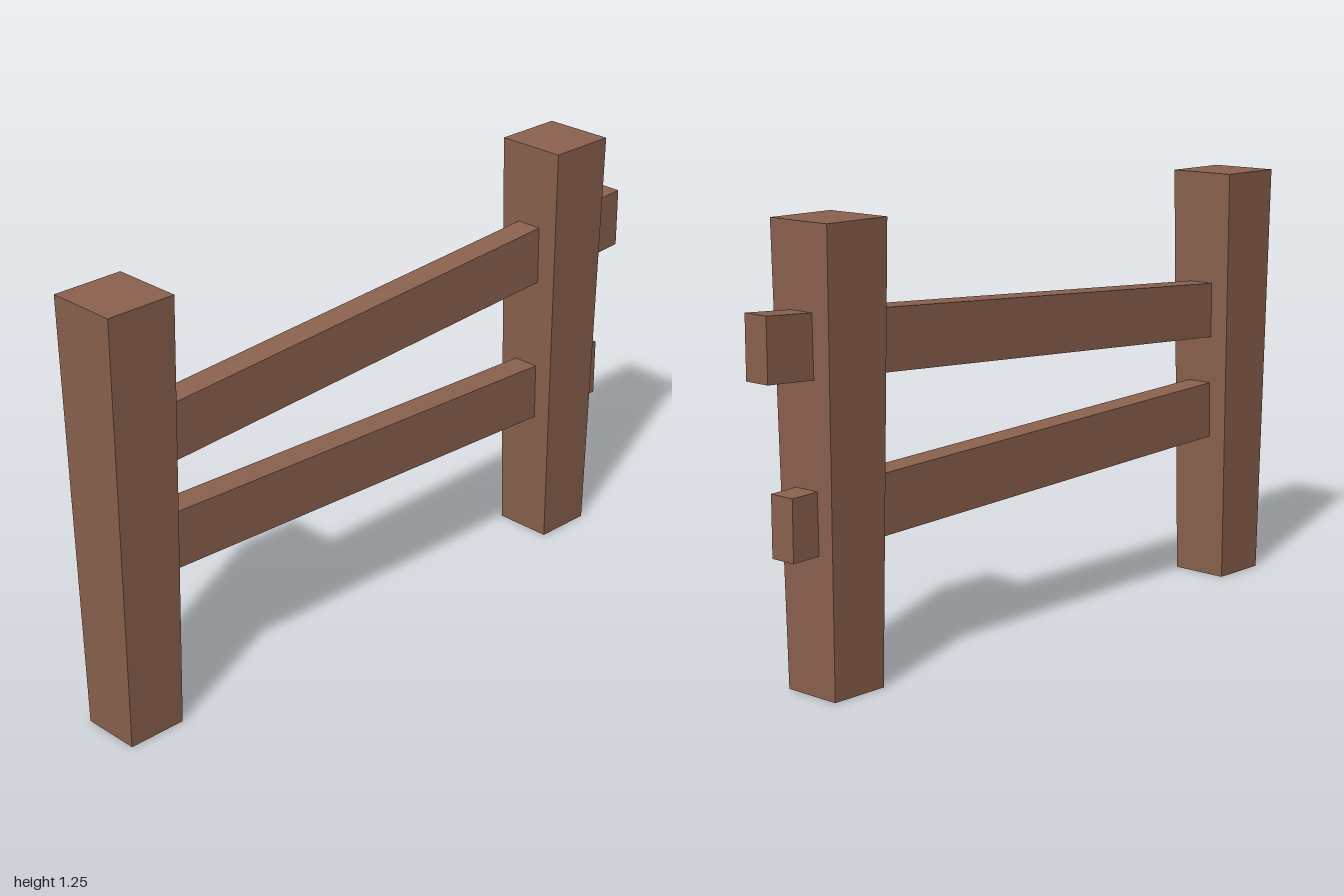
import * as THREE from 'three';

const wood = new THREE.MeshStandardMaterial({ color: 0x8c624f });
wood.name = 'brown wood';

// Unit box whose corners are moved by a rule; each corner arrives as signs (-1 or 1)
function shapedBox(name, place) {
  const geo = new THREE.BoxGeometry(2, 2, 2);
  const p = geo.attributes.position;
  for (let i = 0; i < p.count; i++) {
    p.setXYZ(i, ...place(p.getX(i), p.getY(i), p.getZ(i)));
  }
  geo.computeVertexNormals();
  const mesh = new THREE.Mesh(geo, wood);
  mesh.name = name;
  return mesh;
}

// Square post, wider at the top
function post(name, z) {
  return shapedBox(name, (sx, sy, sz) => {
    const half = sy > 0 ? 0.105 : 0.088;
    return [sx * half, sy > 0 ? 1.25 : 0, z + sz * half];
  });
}

// Sloping rail between two end sections: { z, bottom, top, x }
function rail(name, front, back) {
  return shapedBox(name, (sx, sy, sz) => {
    const e = sz > 0 ? front : back;
    return [e.x + sx * 0.04, sy > 0 ? e.top : e.bottom, e.z];
  });
}

export function createModel() {
  const fence = new THREE.Group();
  fence.name = 'fence';
  fence.add(
    post('frontPost', 0.895),
    post('backPost', -0.745),
    rail('upperRail',
      { z: 0.85, bottom: 0.747, top: 0.912, x: 0 },
      { z: -1, bottom: 0.856, top: 1.03, x: -0.002 }),
    rail('lowerRail',
      { z: 0.85, bottom: 0.441, top: 0.609, x: 0.004 },
      { z: -0.927, bottom: 0.383, top: 0.554, x: -0.003 }),
  );
  return fence;
}
